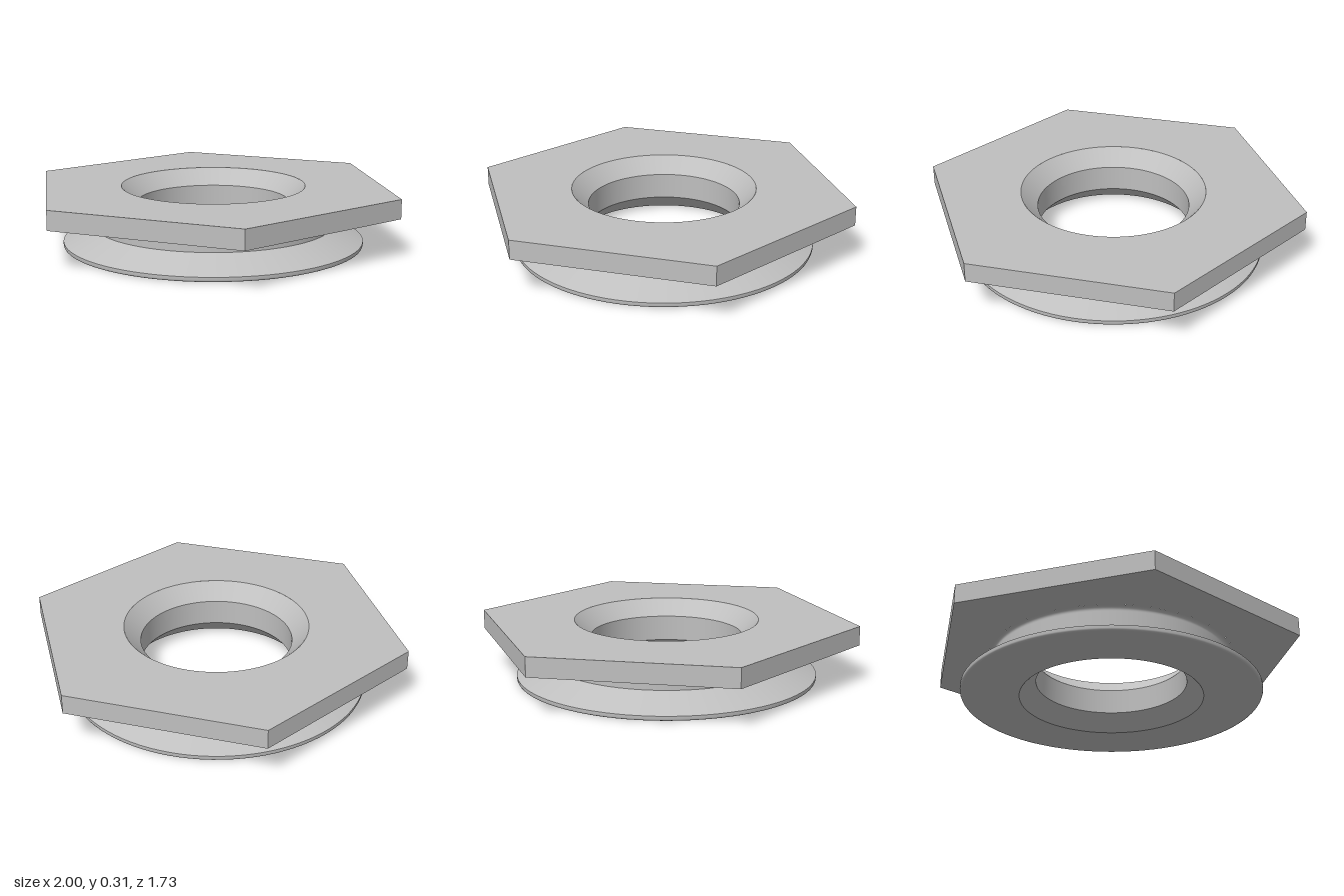
import * as THREE from 'three';

const SEGMENTS = 96;
const TOP = 0.305, PLATE_BOTTOM = 0.205;
const BORE = 0.395, CHAMFER = 0.48, BEVEL = 0.085;
const NECK = 0.628, FILLET = 0.02, FLANGE = 0.785;

export function createModel() {
  const steel = new THREE.MeshStandardMaterial({ color: 0xbfbfbf });
  steel.name = 'steel grey';
  const model = new THREE.Group();
  model.name = 'flangedHexBushing';

  const add = (parent, name, geometry) => {
    const mesh = new THREE.Mesh(geometry, steel);
    mesh.name = name;
    parent.add(mesh);
    return mesh;
  };
  const group = (name) => {
    const g = new THREE.Group();
    g.name = name;
    model.add(g);
    return g;
  };
  // One smooth band of revolution; separate bands keep the edges sharp
  const band = (parent, name, points) => add(parent, name,
    new THREE.LatheGeometry(points.map(([r, y]) => new THREE.Vector2(r, y)), SEGMENTS));

  // Hexagonal face with a round opening
  const hexFace = (holeRadius) => {
    const corners = Array.from({ length: 6 }, (_, i) =>
      new THREE.Vector2(Math.cos(i * Math.PI / 3), Math.sin(i * Math.PI / 3)));
    const shape = new THREE.Shape(corners);
    shape.holes.push(new THREE.Path().absarc(0, 0, holeRadius, 0, Math.PI * 2, true));
    return new THREE.ShapeGeometry(shape, SEGMENTS);
  };

  // Hex plate
  const plate = group('hexPlate');
  add(plate, 'plateTop', hexFace(CHAMFER).rotateX(-Math.PI / 2).translate(0, TOP, 0));
  add(plate, 'plateUnderside',
    hexFace(NECK + FILLET).rotateX(Math.PI / 2).translate(0, PLATE_BOTTOM, 0));
  const sides = new THREE.CylinderGeometry(1, 1, TOP - PLATE_BOTTOM, 6, 1, true, Math.PI / 2)
    .translate(0, (TOP + PLATE_BOTTOM) / 2, 0).toNonIndexed();
  sides.computeVertexNormals();
  add(plate, 'plateSides', sides);

  // Through bore, chamfered at both ends
  const bore = group('bore');
  band(bore, 'upperChamfer', [[CHAMFER, TOP], [BORE, TOP - BEVEL]]);
  band(bore, 'boreWall', [[BORE, TOP - BEVEL], [BORE, BEVEL]]);
  band(bore, 'lowerChamfer', [[BORE, BEVEL], [CHAMFER, 0]]);

  // Tapered flange with a softened rim
  const flange = group('flange');
  band(flange, 'flangeBase', [[CHAMFER, 0], [FLANGE - 0.01, 0]]);
  band(flange, 'flangeRim', [[FLANGE - 0.01, 0], [FLANGE - 0.003, 0.003],
    [FLANGE, 0.01], [FLANGE, 0.025]]);
  band(flange, 'flangeTaper', [[FLANGE, 0.025], [NECK, 0.102]]);

  // Neck, filleted into the plate
  const neck = [[NECK, 0.102], [NECK, PLATE_BOTTOM - FILLET - 0.005]];
  for (let i = 0; i <= 6; i++) {
    const a = i / 6 * Math.PI / 2;
    neck.push([NECK + FILLET * (1 - Math.cos(a)), PLATE_BOTTOM - FILLET * (1 - Math.sin(a))]);
  }
  band(model, 'neck', neck);

  return model;
}
